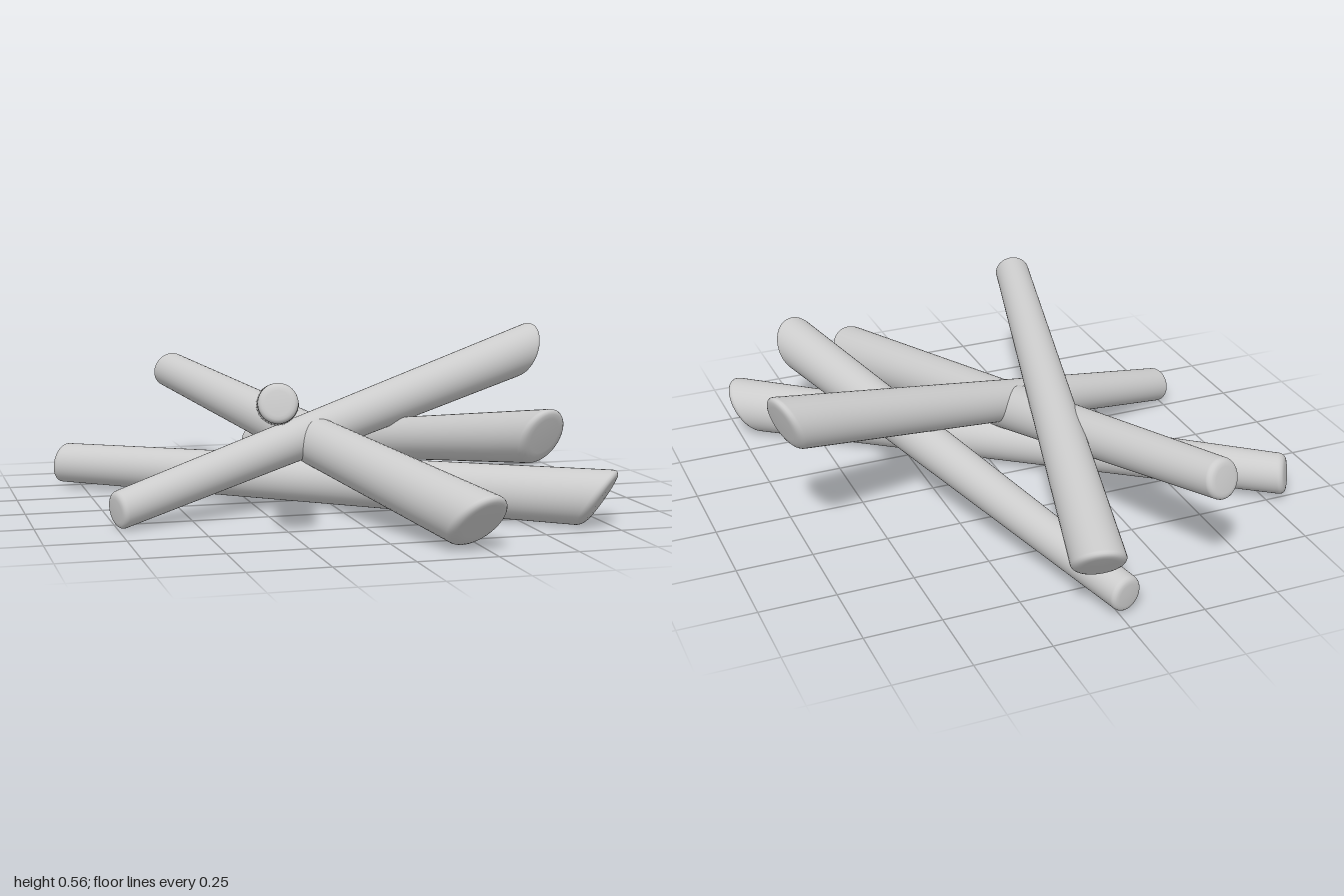
import * as THREE from 'three';
import { mergeVertices } from 'three/addons/utils/BufferGeometryUtils.js';

const THIN_CUT = 0.12; // slope of the cut at the thin end
const THICK_CUT = 0.62; // slope of the cut at the thick end

// Tapered log along +y with rounded rims and slanted cuts; local +z is its upper side.
function logGeometry(length, r0, r1) {
  const profile = [];
  const add = (x, y) => profile.push(new THREE.Vector2(x, y));
  const steps = 5;
  const b0 = r0 * 0.3, b1 = r1 * 0.3;

  // thin end: flat face, then rounded rim
  add(0, 0);
  add((r0 - b0) * 0.9, 0.002);
  for (let i = 0; i <= steps; i++) {
    const a = (i / steps) * Math.PI / 2;
    add(r0 - b0 + b0 * Math.sin(a), 0.003 + b0 * (1 - Math.cos(a)));
  }
  // straight body
  for (let i = 1; i < 10; i++) {
    const t = i / 10;
    add(THREE.MathUtils.lerp(r0, r1, t), THREE.MathUtils.lerp(b0, length - b1, t));
  }
  // thick end: rounded rim, then flat face
  for (let i = steps; i >= 0; i--) {
    const a = (i / steps) * Math.PI / 2;
    add(r1 - b1 + b1 * Math.sin(a), length - 0.003 - b1 * (1 - Math.cos(a)));
  }
  add((r1 - b1) * 0.9, length - 0.002);
  add(0, length);

  let geometry = new THREE.LatheGeometry(profile, 40);
  geometry.deleteAttribute('normal');
  geometry.deleteAttribute('uv');
  geometry = mergeVertices(geometry, 1e-5);

  // slide the surface along the axis to slant both cuts
  const p = geometry.attributes.position;
  for (let i = 0; i < p.count; i++) {
    const t = p.getY(i) / length;
    p.setY(i, p.getY(i) + p.getZ(i) * THREE.MathUtils.lerp(THIN_CUT, THICK_CUT, t));
  }
  geometry.computeVertexNormals();
  return geometry;
}

export function createModel() {
  const model = new THREE.Group();
  model.name = 'logPile';
  const material = new THREE.MeshStandardMaterial({ color: 0xcccccc });

  // each log: centre and radius of its thin end, then of its thick end
  const logs = [
    { name: 'groundLog', thin: [-0.82, 0.093, -0.5], r0: 0.068, thick: [0.72, 0.1, 0.68], r1: 0.09 },
    { name: 'frontLog', thin: [-0.365, 0.37, -0.88], r0: 0.065, thick: [0.22, 0.098, 0.94], r1: 0.094 },
    { name: 'crossLog', thin: [-0.755, 0.065, 0.315], r0: 0.06, thick: [0.82, 0.48, -0.225], r1: 0.084 },
    { name: 'topLog', thin: [-0.335, 0.44, 0.715], r0: 0.06, thick: [0.075, 0.205, -0.94], r1: 0.085 },
    { name: 'leftLog', thin: [-0.025, 0.075, -0.935], r0: 0.057, thick: [0.515, 0.305, 0.69], r1: 0.083 },
  ];

  for (const { name, thin, r0, thick, r1 } of logs) {
    const start = new THREE.Vector3(...thin);
    const axis = new THREE.Vector3(...thick).sub(start);
    const log = new THREE.Mesh(logGeometry(axis.length(), r0, r1), material);
    log.name = name;

    // point the log along its axis with its upper side facing up
    axis.normalize();
    const side = new THREE.Vector3().crossVectors(axis, new THREE.Vector3(0, 1, 0)).normalize();
    const up = new THREE.Vector3().crossVectors(side, axis);
    log.quaternion.setFromRotationMatrix(new THREE.Matrix4().makeBasis(side, axis, up));
    log.position.copy(start);
    model.add(log);
  }
  return model;
}
